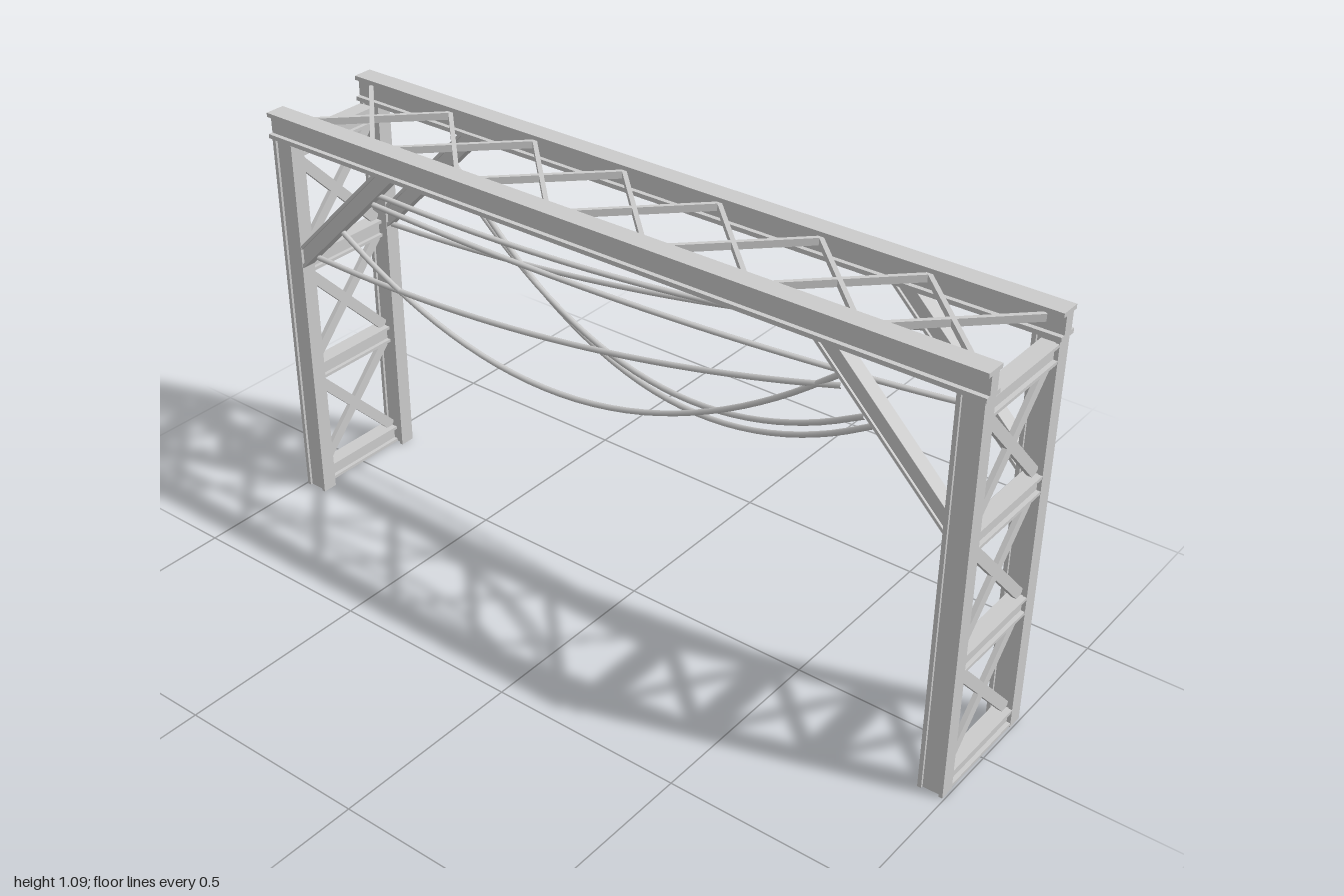
import * as THREE from 'three';

const material = new THREE.MeshStandardMaterial({ color: 0xcccccc, flatShading: true });
const cableMaterial = new THREE.MeshStandardMaterial({ color: 0xcccccc });

function add(parent, name, geometry, mat = material) {
  const mesh = new THREE.Mesh(geometry, mat);
  mesh.name = name;
  parent.add(mesh);
  return mesh;
}

// Extrudes a flat outline along z, centred on z = 0
function extrude(points, depth) {
  const shape = new THREE.Shape(points.map(([x, y]) => new THREE.Vector2(x, y)));
  return new THREE.ExtrudeGeometry(shape, { depth, bevelEnabled: false })
    .translate(0, 0, -depth / 2);
}

// I-section, h tall (y) and b wide (x), running along z
function iBeam(length, h, b, flange, web) {
  const H = h / 2, B = b / 2, W = web / 2, F = H - flange;
  const half = [[B, -H], [B, -F], [W, -F], [W, F], [B, F], [B, H]];
  return extrude([...half, ...half.map(([x, y]) => [-x, y]).reverse()], length);
}

// 45 degree strip of a knee brace, between two heights above its lower edge
function braceStrip(side, low, high, depth) {
  const foot = [0.94, 0.67], head = [0.588, 1.022];
  const corners = [
    [foot[0], foot[1] + low], [head[0] + low, head[1]],
    [head[0] + high, head[1]], [foot[0], foot[1] + high],
  ];
  return extrude(corners.map(([x, y]) => [side * x, y]), depth);
}

// Hanging cable: straight line from a to b with a parabolic sag
function cable(a, b, sag) {
  const A = new THREE.Vector3(...a), B = new THREE.Vector3(...b), points = [];
  for (let i = 0; i <= 12; i++) {
    const t = i / 12;
    const p = A.clone().lerp(B, t);
    p.y -= 4 * sag * t * (1 - t);
    points.push(p);
  }
  return new THREE.TubeGeometry(new THREE.CatmullRomCurve3(points), 32, 0.007, 8);
}

export function createModel() {
  const model = new THREE.Group();
  model.name = 'gantry';
  const Z = 0.15;

  // Long top beams
  for (const s of [1, -1]) {
    const geometry = iBeam(2, 0.067, 0.053, 0.011, 0.029).rotateY(Math.PI / 2);
    add(model, 'topBeam', geometry).position.set(0, 1.0525, s * Z);
  }

  // Lattice of crossed bars between the top beams
  const lattice = new THREE.Group();
  lattice.name = 'topLattice';
  model.add(lattice);
  const panels = 7, pitch = 1.91 / panels;
  for (let i = 0; i < panels; i++) {
    for (const s of [1, -1]) {
      const bar = add(lattice, 'latticeBar',
        new THREE.BoxGeometry(Math.hypot(pitch, 0.27), 0.018, 0.011));
      bar.position.set((i - (panels - 1) / 2) * pitch, 1.059, 0);
      bar.rotation.y = s * Math.atan2(0.27, pitch);
    }
  }

  // End towers: columns, knee braces, struts and crossed braces
  for (const side of [1, -1]) {
    const tower = new THREE.Group();
    tower.name = side > 0 ? 'leftTower' : 'rightTower';
    model.add(tower);

    for (const s of [1, -1]) {
      const column = iBeam(1.02, 0.064, 0.041, 0.01, 0.028)
        .rotateZ(Math.PI / 2).rotateX(Math.PI / 2);
      add(tower, 'column', column).position.set(side * 0.963, 0.51, s * Z);

      // Slanted I-section: two flanges and a recessed web
      const brace = new THREE.Group();
      brace.name = 'kneeBrace';
      brace.position.z = s * Z;
      tower.add(brace);
      add(brace, 'braceFlange', braceStrip(side, 0, 0.011, 0.038));
      add(brace, 'braceWeb', braceStrip(side, 0.011, 0.052, 0.026));
      add(brace, 'braceFlange', braceStrip(side, 0.052, 0.063, 0.038));
    }

    for (let i = 0; i < 4; i++) {
      const y = 0.027 + i * 0.32;
      add(tower, 'strut', iBeam(0.264, 0.047, 0.043, 0.008, 0.022))
        .position.set(side * 0.973, y, 0);
      if (i === 3) continue;
      for (const s of [1, -1]) {
        const bar = add(tower, 'crossBrace', new THREE.BoxGeometry(0.012, 0.028, 0.375));
        bar.position.set(side * 0.973, y + 0.16, 0);
        bar.rotation.x = s * Math.atan2(0.274, 0.262);
      }
    }
  }

  // Slack cables strung beneath the beams: start, end, sag
  const cables = [
    [[-0.66, 0.955, Z], [0.72, 0.905, -Z], 0.05],
    [[-0.68, 0.925, Z], [0.82, 0.785, -Z], 0.035],
    [[-0.93, 0.68, -Z], [0.68, 0.93, -Z], 0.05],
    [[-0.89, 0.715, Z], [0.66, 0.92, Z], 0.065],
    [[-0.8, 0.82, Z], [0.66, 0.95, Z], 0.27],
    [[-0.7, 0.93, -Z], [0.75, 0.86, Z], 0.278],
    [[-0.7, 0.9, -Z], [0.72, 0.87, Z], 0.245],
  ];
  for (const [a, b, sag] of cables) add(model, 'cable', cable(a, b, sag), cableMaterial);

  return model;
}
